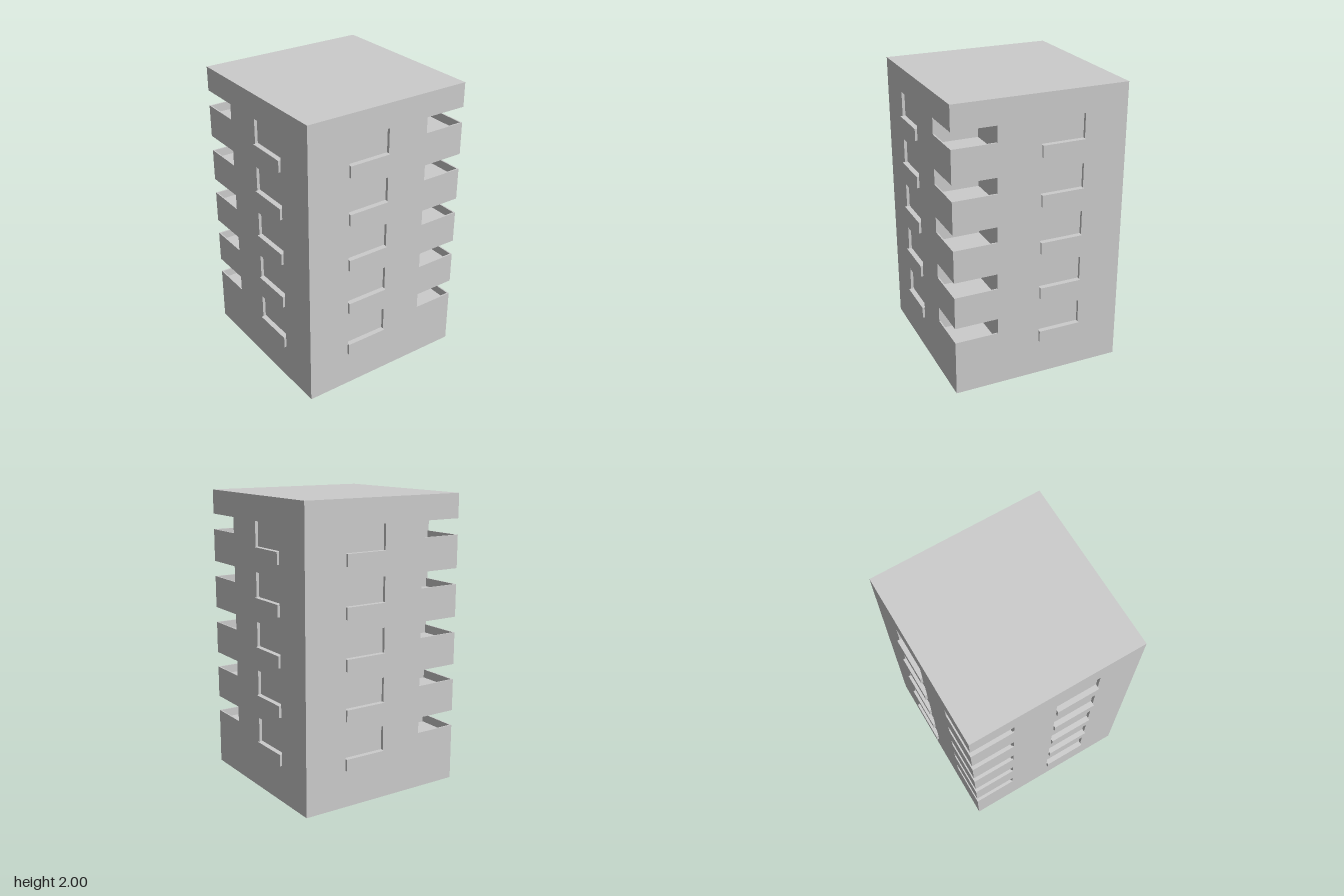
import * as THREE from 'three';

const HALF = 0.6, HEIGHT = 2, STOREYS = 5, STOREY = 1 / 3;
const OPENING = 1 / 6;              // height of windows and corner balconies
const NOTCH = 0.3;                  // corner balcony starts here
const RAIL = 0.058, RAIL_T = 0.01;  // balcony parapet
const RECESS = 0.02, LEDGE_OUT = 0.016, LEDGE_H = 0.08;

const material = new THREE.MeshStandardMaterial({ color: 0xcccccc, flatShading: true });

function addMesh(group, name, geometry) {
  const mesh = new THREE.Mesh(geometry, material);
  mesh.name = name;
  group.add(mesh);
  return mesh;
}

// Flat rectangles, each [origin, u, v], facing u x v
function panels(list) {
  const pos = [];
  for (const [o, u, v] of list) {
    const at = (i, j) => o.map((c, k) => c + i * u[k] + j * v[k]);
    pos.push(...at(0, 0), ...at(1, 0), ...at(1, 1), ...at(0, 0), ...at(1, 1), ...at(0, 1));
  }
  const geometry = new THREE.BufferGeometry();
  geometry.setAttribute('position', new THREE.Float32BufferAttribute(pos, 3));
  geometry.computeVertexNormals();
  return geometry;
}

// One wall facing +z; side = 1 puts the balcony cuts at +x, -1 at -x
function facade(name, side) {
  const group = new THREE.Group();
  group.name = name;
  const shape = new THREE.Shape();
  shape.moveTo(-side * HALF, 0);
  shape.lineTo(side * HALF, 0);
  const x0 = side > 0 ? -0.3 : 0, x1 = x0 + 0.3, w = x1 - x0;
  const zi = HALF - RECESS;

  for (let i = 1; i <= STOREYS; i++) {
    const y0 = i * STOREY, y1 = y0 + OPENING;
    // balcony cut in the wall outline
    shape.lineTo(side * HALF, y0 + RAIL);
    shape.lineTo(side * NOTCH, y0 + RAIL);
    shape.lineTo(side * NOTCH, y1);
    shape.lineTo(side * HALF, y1);
    // window hole
    shape.holes.push(new THREE.Path([
      new THREE.Vector2(x0, y0), new THREE.Vector2(x0, y1),
      new THREE.Vector2(x1, y1), new THREE.Vector2(x1, y0),
    ]));
    // shallow window recess: pane, jambs, head, sill
    addMesh(group, 'windowRecess', panels([
      [[x0, y0, zi], [w, 0, 0], [0, OPENING, 0]],
      [[x0, y0, zi], [0, OPENING, 0], [0, 0, RECESS]],
      [[x1, y0, zi], [0, 0, RECESS], [0, OPENING, 0]],
      [[x0, y1, zi], [w, 0, 0], [0, 0, RECESS]],
      [[x0, y0, zi], [0, 0, RECESS], [w, 0, 0]],
    ]));
    // projecting ledge below the window
    const ledge = addMesh(group, 'windowLedge', new THREE.BoxGeometry(w - 0.003, LEDGE_H, LEDGE_OUT));
    ledge.position.set((x0 + x1) / 2 - 0.0015 * side, y0 - LEDGE_H / 2, HALF + LEDGE_OUT / 2);
  }
  shape.lineTo(side * HALF, HEIGHT);
  shape.lineTo(-side * HALF, HEIGHT);
  const wall = addMesh(group, 'wall', new THREE.ShapeGeometry(shape));
  wall.position.z = HALF;
  return group;
}

// Inside of a corner balcony at +x +z
function balcony(y0) {
  const a = NOTCH, s = HALF - a, e = HALF - RAIL_T, w = e - a, yr = y0 + RAIL;
  return panels([
    [[a, y0, a], [0, 0, w], [w, 0, 0]],                 // floor
    [[a, y0 + OPENING, a], [s, 0, 0], [0, 0, s]],       // ceiling
    [[a, y0, a], [s, 0, 0], [0, OPENING, 0]],           // back walls
    [[a, y0, a], [0, OPENING, 0], [0, 0, s]],
    [[a, y0, e], [0, RAIL, 0], [w, 0, 0]],              // parapet inner faces
    [[e, y0, a], [0, 0, w], [0, RAIL, 0]],
    [[a, yr, e], [0, 0, RAIL_T], [s, 0, 0]],            // parapet tops
    [[e, yr, a], [0, 0, w], [RAIL_T, 0, 0]],
  ]);
}

export function createModel() {
  const model = new THREE.Group();
  model.name = 'apartmentBlock';

  // Two identical halves, half a turn apart
  for (let k = 0; k < 2; k++) {
    const half = new THREE.Group();
    half.name = k ? 'backHalf' : 'frontHalf';
    half.rotation.y = k * Math.PI;
    const second = facade('sideFacade', -1);
    second.rotation.y = Math.PI / 2;
    half.add(facade('mainFacade', 1), second);
    for (let i = 1; i <= STOREYS; i++) addMesh(half, 'cornerBalcony', balcony(i * STOREY));
    model.add(half);
  }

  // Roof and base
  const d = 2 * HALF;
  addMesh(model, 'roof', panels([[[-HALF, HEIGHT, -HALF], [0, 0, d], [d, 0, 0]]]));
  addMesh(model, 'base', panels([[[-HALF, 0, -HALF], [d, 0, 0], [0, 0, d]]]));
  return model;
}
